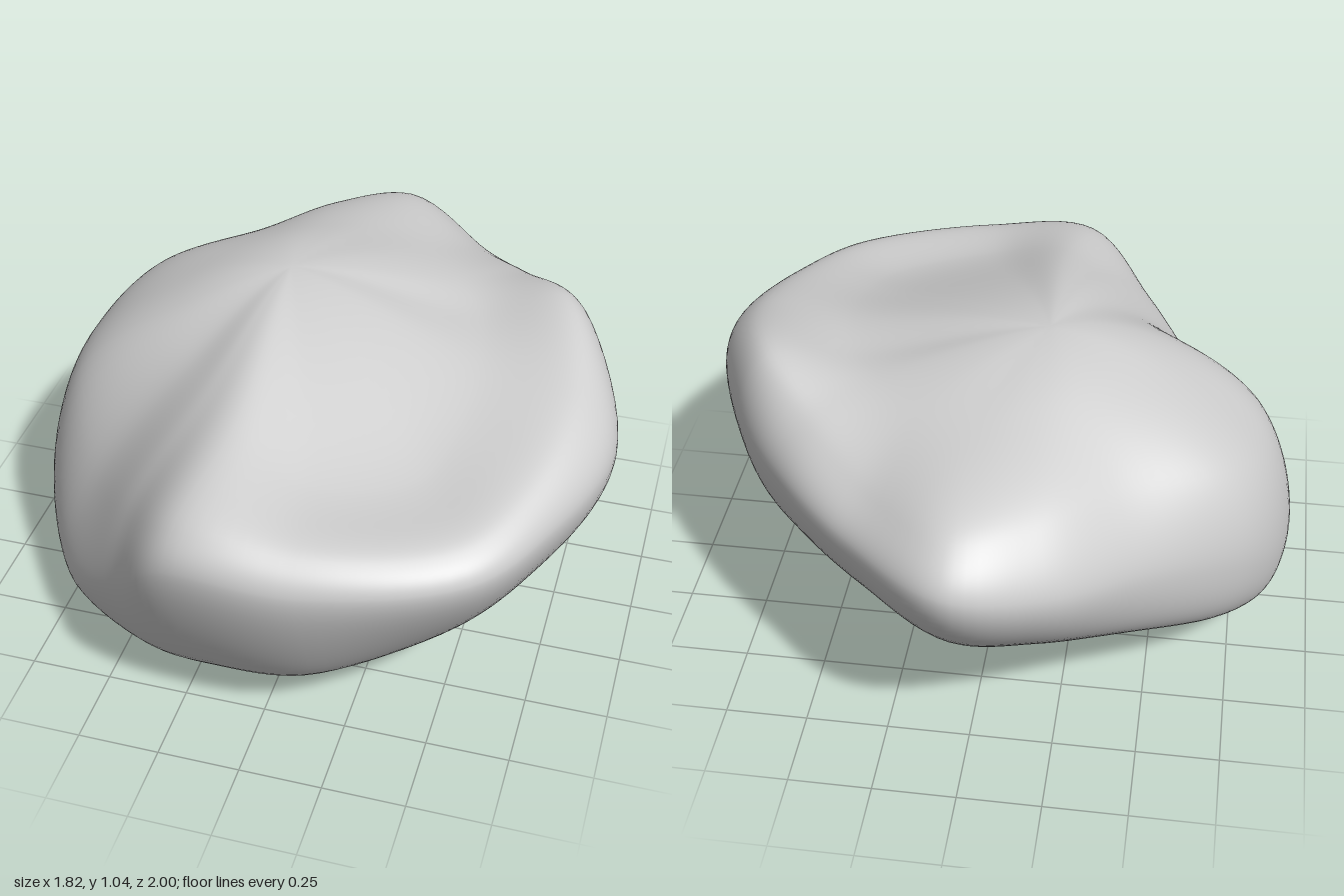
import * as THREE from 'three';
import { mergeVertices } from 'three/addons/utils/BufferGeometryUtils.js';

// Meridians around the rock: angle in degrees from the front (+z) towards +x, then
// radius, height pairs: lower flank, widest point, shoulder, upper face.
const MERIDIANS = [
  [-12, 0.76, 0.14, 0.995, 0.68, 0.92, 0.81, 0.58, 0.92],
  [10, 0.77, 0.19, 1.00, 0.69, 0.93, 0.79, 0.66, 0.83],
  [37, 0.70, 0.22, 1.02, 0.70, 0.95, 0.785, 0.66, 0.815],
  [55, 0.70, 0.27, 0.96, 0.71, 0.89, 0.82, 0.56, 0.87],
  [80, 0.70, 0.31, 0.92, 0.73, 0.81, 0.90, 0.47, 0.93],
  [109, 0.67, 0.37, 0.815, 0.76, 0.725, 0.985, 0.44, 0.945],
  [132, 0.64, 0.40, 0.785, 0.75, 0.68, 0.91, 0.42, 0.96],
  [155, 0.66, 0.40, 0.835, 0.73, 0.73, 0.85, 0.45, 0.96],
  [178, 0.76, 0.39, 1.00, 0.74, 0.89, 0.875, 0.50, 0.965],
  [195, 0.74, 0.37, 0.93, 0.68, 0.81, 0.86, 0.47, 0.98],
  [217, 0.73, 0.32, 0.83, 0.60, 0.72, 0.82, 0.44, 0.99],
  [243, 0.80, 0.22, 0.89, 0.47, 0.80, 0.77, 0.46, 0.975],
  [262, 0.83, 0.12, 0.91, 0.30, 0.83, 0.69, 0.48, 0.955],
  [280, 0.83, 0.09, 0.91, 0.24, 0.80, 0.68, 0.47, 0.935],
  [307, 0.80, 0.07, 0.885, 0.21, 0.76, 0.55, 0.45, 0.89],
  [330, 0.76, 0.08, 0.90, 0.40, 0.82, 0.66, 0.50, 0.91],
];
const BOTTOM = new THREE.Vector3(-0.2, 0, 0.4);
const TOP = new THREE.Vector3(-0.15, 1.045, -0.08);
const ROWS = 64;
const COLUMNS = 128;

// Mirror a point across the vertical line through a pole, so curves arrive level there
function acrossPole(point, pole) {
  return new THREE.Vector3(2 * pole.x - point.x, point.y, 2 * pole.z - point.z);
}

// Curve of one meridian from the underside to the top
function meridianCurve([degrees, ...profile]) {
  const angle = THREE.MathUtils.degToRad(degrees);
  const points = [];
  for (let k = 0; k < profile.length; k += 2) {
    points.push(new THREE.Vector3(
      Math.sin(angle) * profile[k], profile[k + 1], Math.cos(angle) * profile[k]));
  }
  return new THREE.CatmullRomCurve3([
    acrossPole(points[0], BOTTOM), BOTTOM, ...points, TOP,
    acrossPole(points[points.length - 1], TOP),
  ]);
}

function rockGeometry() {
  const curves = MERIDIANS.map(meridianCurve);

  // Closed rings through all the meridians, shrinking to a point at both poles
  const positions = [];
  for (let j = 0; j <= ROWS; j++) {
    const t = (1 + 5 * j / ROWS) / 7;
    const ring = new THREE.CatmullRomCurve3(curves.map((c) => c.getPoint(t)), true);
    const pole = j === 0 ? BOTTOM : j === ROWS ? TOP : null;
    for (let i = 0; i < COLUMNS; i++) {
      const p = pole || ring.getPoint(i / COLUMNS);
      positions.push(p.x, p.y, p.z);
    }
  }

  // Quads between rings, single triangles at the poles
  const index = [];
  for (let j = 0; j < ROWS; j++) {
    for (let i = 0; i < COLUMNS; i++) {
      const a = j * COLUMNS + i;
      const b = j * COLUMNS + (i + 1) % COLUMNS;
      if (j > 0) index.push(a, b, b + COLUMNS);
      if (j < ROWS - 1) index.push(a, b + COLUMNS, a + COLUMNS);
    }
  }

  const geometry = new THREE.BufferGeometry();
  geometry.setAttribute('position', new THREE.Float32BufferAttribute(positions, 3));
  geometry.setIndex(index);
  const welded = mergeVertices(geometry, 1e-5);
  welded.computeVertexNormals();
  return welded;
}

export function createModel() {
  const model = new THREE.Group();
  model.name = 'boulder';

  const stone = new THREE.MeshStandardMaterial({ color: 0xcecece });
  stone.name = 'grey stone';

  const rock = new THREE.Mesh(rockGeometry(), stone);
  rock.name = 'rock';
  model.add(rock);
  return model;
}
